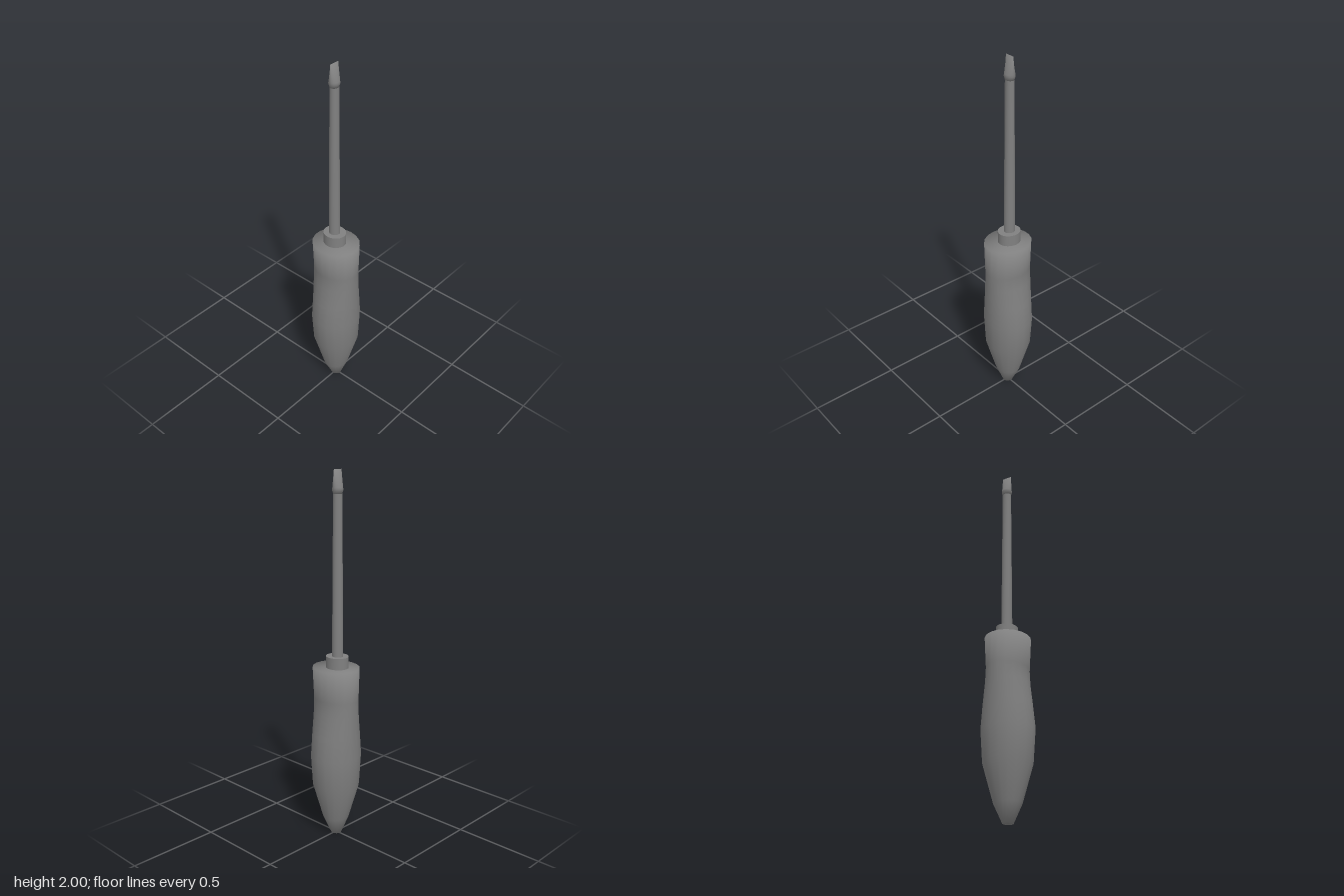
import * as THREE from 'three';

const material = new THREE.MeshStandardMaterial({ color: 0x808080 });

// Closed loft through elliptical sections [y, half width x, half depth z].
// softCaps shares the rim vertices with the caps so shading rolls over the edge.
function loft(name, sections, sides, z, softCaps) {
  const pos = [], index = [];
  const ring = ([y, rx, rz]) => {
    const start = pos.length / 3;
    for (let i = 0; i < sides; i++) {
      const a = (i / sides) * Math.PI * 2;
      pos.push(rx * Math.cos(a), y, -rz * Math.sin(a));
    }
    return start;
  };
  const rings = sections.map(ring);
  const last = rings.length - 1;
  for (let r = 0; r < last; r++) {
    for (let i = 0; i < sides; i++) {
      const j = (i + 1) % sides;
      const a = rings[r] + i, b = rings[r] + j;
      const c = rings[r + 1] + j, d = rings[r + 1] + i;
      index.push(a, b, c, a, c, d);
    }
  }
  const cap = (k, up) => {
    const start = softCaps ? rings[k] : ring(sections[k]);
    const centre = pos.length / 3;
    pos.push(0, sections[k][0], 0);
    for (let i = 0; i < sides; i++) {
      const a = start + i, b = start + (i + 1) % sides;
      if (up) index.push(centre, a, b);
      else index.push(centre, b, a);
    }
  };
  cap(0, false);
  cap(last, true);

  const geometry = new THREE.BufferGeometry();
  geometry.setAttribute('position', new THREE.Float32BufferAttribute(pos, 3));
  geometry.setIndex(index);
  geometry.computeVertexNormals();

  // Tilt soft rim normals halfway between wall and cap
  if (softCaps) {
    const normals = geometry.attributes.normal;
    const n = new THREE.Vector3();
    for (const [k, dir] of [[0, -1], [last, 1]]) {
      for (let i = rings[k]; i < rings[k] + sides; i++) {
        n.fromBufferAttribute(normals, i).setY(0).normalize().setY(dir).normalize();
        normals.setXYZ(i, n.x, n.y, n.z);
      }
    }
  }
  const mesh = new THREE.Mesh(geometry, material);
  mesh.name = name;
  mesh.position.z = z;
  return mesh;
}

export function createModel() {
  const group = new THREE.Group();
  group.name = 'screwdriver';

  // Grip: waisted across the width, straight in depth, tapering to the butt
  group.add(loft('handle', [
    [0, 0.027, 0.03],
    [0.1, 0.075, 0.069],
    [0.3, 0.131, 0.126],
    [0.47, 0.144, 0.132],
    [0.6, 0.129, 0.132],
    [0.72, 0.112, 0.132],
    [0.8, 0.107, 0.132],
    [0.973, 0.12, 0.132],
  ], 18, 0, true));

  // Ferrule between grip and shaft
  group.add(loft('collar', [
    [0.96, 0.057, 0.063],
    [1.035, 0.057, 0.063],
  ], 32, -0.009, false));

  // Slightly tapering rod
  group.add(loft('shaft', [
    [1.02, 0.029, 0.031],
    [1.885, 0.025, 0.022],
  ], 20, -0.011, false));

  // Flared tip narrowing to a flat blade edge
  group.add(loft('bladeTip', [
    [1.88, 0.025, 0.022],
    [1.9, 0.03, 0.028],
    [1.91, 0.029, 0.026],
    [2, 0.028, 0.001],
  ], 20, -0.011, true));

  return group;
}
